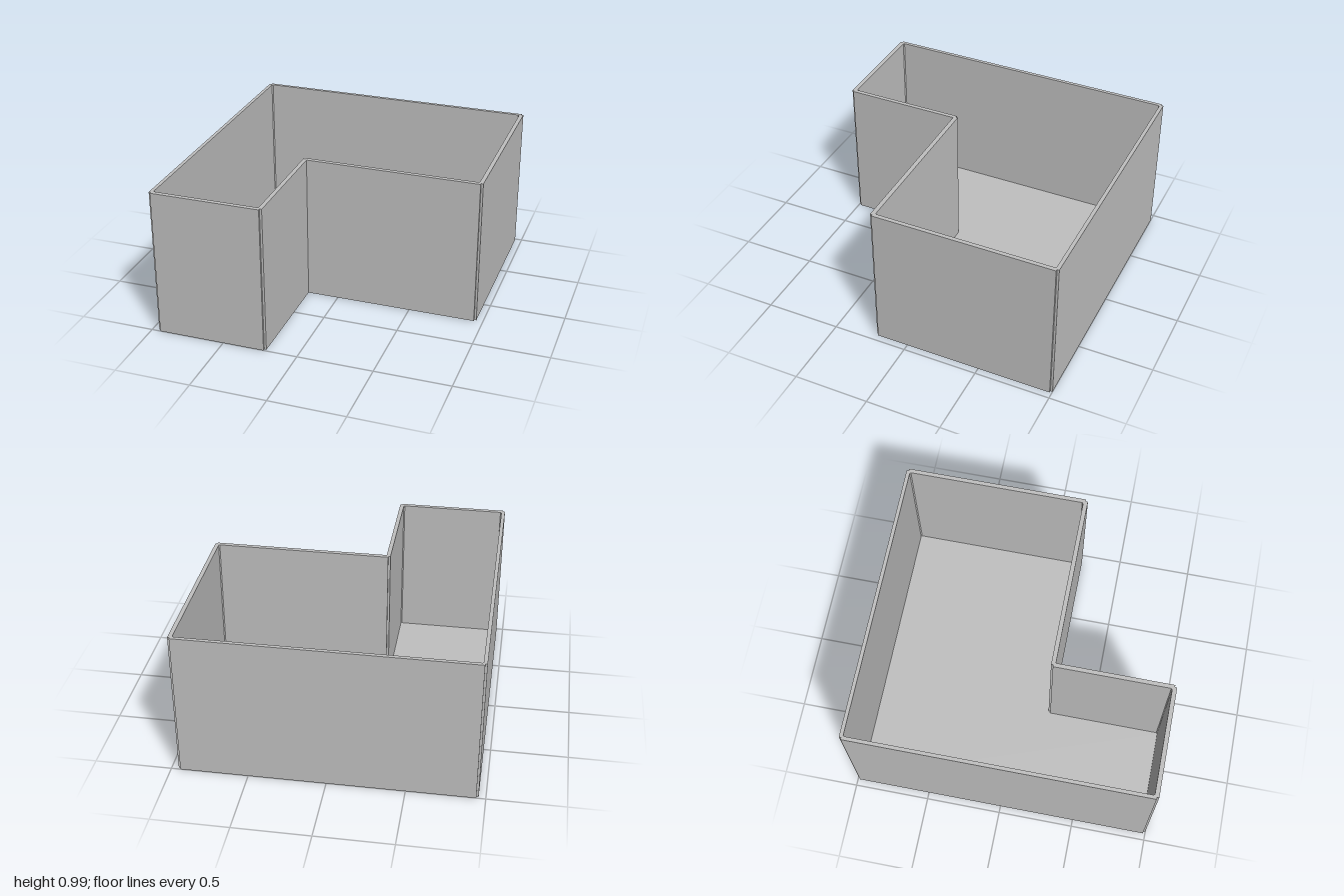
import * as THREE from 'three';

const HEIGHT = 0.985, FLOOR = 0.005, STEP = 0.014;

// L-shaped plan as [x, z, corner]; each corner is cut by a small square step or a bevel
function cutCorners(corners) {
  const out = [];
  corners.forEach(([x, z, cut, size], i) => {
    const n = corners.length;
    const toward = ([px, pz]) => [Math.sign(px - x) * size, Math.sign(pz - z) * size];
    const a = toward(corners[(i + n - 1) % n]);
    const b = toward(corners[(i + 1) % n]);
    if (cut === 'sharp') return out.push([x, z]);
    out.push([x + a[0], z + a[1]]);
    if (cut === 'step') out.push([x + a[0] + b[0], z + a[1] + b[1]]);
    out.push([x + b[0], z + b[1]]);
  });
  return out.map(([x, z]) => new THREE.Vector2(x, -z));
}

const outer = cutCorners([
  [-0.955, -1, 'step', STEP], [-0.955, 1, 'step', STEP],
  [-0.21, 1, 'step', STEP], [-0.21, 0.226, 'sharp', 0],
  [0.955, 0.226, 'step', STEP], [0.955, -1, 'step', STEP],
]);
const inner = cutCorners([
  [-0.931, -0.976, 'bevel', 0.007], [-0.931, 0.971, 'bevel', 0.007],
  [-0.237, 0.971, 'bevel', 0.007], [-0.237, 0.197, 'step', STEP],
  [0.928, 0.197, 'bevel', 0.007], [0.928, -0.976, 'bevel', 0.007],
]);

// Raises a plan shape into a solid standing on y
function raise(shape, y, height) {
  const geometry = new THREE.ExtrudeGeometry(shape, { depth: height, bevelEnabled: false });
  return geometry.rotateX(-Math.PI / 2).translate(0, y, 0);
}

export function createModel() {
  const grey = new THREE.MeshStandardMaterial({ color: 0xc0c0c0 });
  grey.name = 'lightGrey';
  const group = new THREE.Group();
  group.name = 'lShapedRoom';

  // Perimeter walls, open at the top
  const plan = new THREE.Shape(outer);
  plan.holes.push(new THREE.Path(inner));
  const walls = new THREE.Mesh(raise(plan, 0, HEIGHT), grey);
  walls.name = 'walls';

  // Thin floor filling the space between the walls
  const floor = new THREE.Mesh(raise(new THREE.Shape(inner), 0, FLOOR), grey);
  floor.name = 'floor';

  group.add(walls, floor);
  return group;
}
